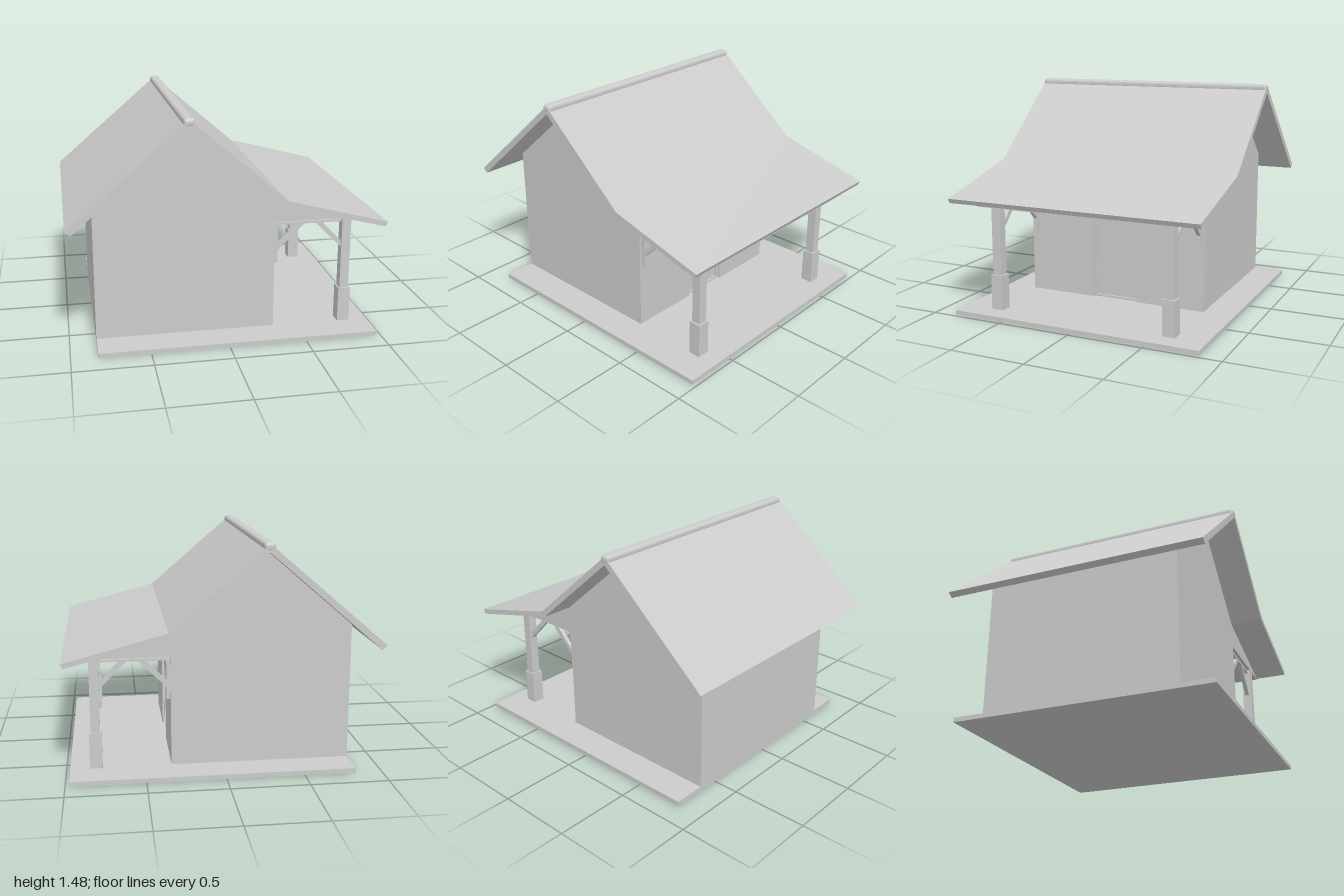
import * as THREE from 'three';
import { RoundedBoxGeometry } from 'three/addons/geometries/RoundedBoxGeometry.js';

const material = new THREE.MeshStandardMaterial({ color: 0xcccccc, flatShading: true });

const toShape = (points) => new THREE.Shape(points.map(([x, y]) => new THREE.Vector2(x, y)));

// Profile in x-y, extruded along z and centred on z = 0
function prism(points, depth) {
  const geometry = new THREE.ExtrudeGeometry(toShape(points), { depth, bevelEnabled: false });
  return geometry.translate(0, 0, -depth / 2);
}

// Box given by its limits on each axis
function box(x0, x1, y0, y1, z0, z1) {
  const geometry = new THREE.BoxGeometry(x1 - x0, y1 - y0, z1 - z0);
  return geometry.translate((x0 + x1) / 2, (y0 + y1) / 2, (z0 + z1) / 2);
}

export function createModel() {
  const house = new THREE.Group();
  house.name = 'house';

  function add(name, geometry, parent = house) {
    const mesh = new THREE.Mesh(geometry, material);
    mesh.name = name;
    parent.add(mesh);
    return mesh;
  }

  const floor = 0.03, ceiling = 0.745, halfDepth = 0.64;
  const wallX = 0.33, recessX = 0.29;

  add('floorSlab', box(-0.83, 0.975, 0, floor, -0.85, 0.85));

  // House body, continued over the porch as a wedge with a flat ceiling
  add('body', prism([
    [-0.83, floor], [recessX, floor], [recessX, ceiling], [0.985, ceiling],
    [0.985, 0.75], [wallX, 0.918], [-0.253, 1.42], [-0.83, 0.922],
  ], halfDepth * 2));

  // Porch wall layer with the doorway cut out of its lower edge
  const doorHalf = 0.165, doorTop = 0.555;
  const wall = new THREE.ExtrudeGeometry(toShape([
    [-halfDepth, floor], [-doorHalf, floor], [-doorHalf, doorTop], [doorHalf, doorTop],
    [doorHalf, floor], [halfDepth, floor], [halfDepth, ceiling], [-halfDepth, ceiling],
  ]), { depth: wallX - recessX, bevelEnabled: false });
  wall.rotateY(Math.PI / 2).translate(recessX, 0, 0);
  add('porchWall', wall);

  // Door frame ring and door panel inside the recess
  const frame = toShape([[-doorHalf, floor], [doorHalf, floor], [doorHalf, doorTop], [-doorHalf, doorTop]]);
  frame.holes.push(toShape([[-0.145, 0.045], [-0.145, 0.54], [0.145, 0.54], [0.145, 0.045]]));
  const frameGeometry = new THREE.ExtrudeGeometry(frame, { depth: 0.025, bevelEnabled: false });
  add('doorFrame', frameGeometry.rotateY(Math.PI / 2).translate(recessX, 0, 0));
  add('doorPanel', box(recessX - 0.01, recessX + 0.012, 0.045, 0.54, -0.145, 0.145));

  // Bent roof sheet and its ridge cap
  add('roof', prism([
    [-1, 0.83], [-0.965, 0.805], [-0.253, 1.42], [wallX, 0.918], [0.985, 0.75],
    [1, 0.78], [0.355, 0.948], [-0.253, 1.472],
  ], 1.715));
  const ridge = add('ridgeCap', new RoundedBoxGeometry(0.07, 0.055, 1.72, 3, 0.022));
  ridge.position.set(-0.253, 1.4525, 0);

  // Post and braced bracket at each end of the porch
  for (const side of [1, -1]) {
    const support = new THREE.Group();
    support.name = side > 0 ? 'frontPorchSupport' : 'backPorchSupport';
    support.position.z = side * 0.608;
    add('post', box(0.78, 0.84, floor, ceiling, -0.031, 0.031), support);
    add('postBase', box(0.77, 0.85, floor, 0.262, -0.042, 0.042), support);
    add('wallStrut', box(wallX, 0.355, 0.465, 0.735, -0.015, 0.015), support);
    add('tieBeam', box(wallX, 0.78, 0.72, 0.735, -0.015, 0.015), support);
    add('wallBrace', prism([[0.355, 0.545], [0.53, 0.72], [0.485, 0.72], [0.355, 0.588]], 0.026), support);
    add('postBrace', prism([[0.78, 0.545], [0.78, 0.588], [0.65, 0.72], [0.605, 0.72]], 0.026), support);
    house.add(support);
  }

  return house;
}
